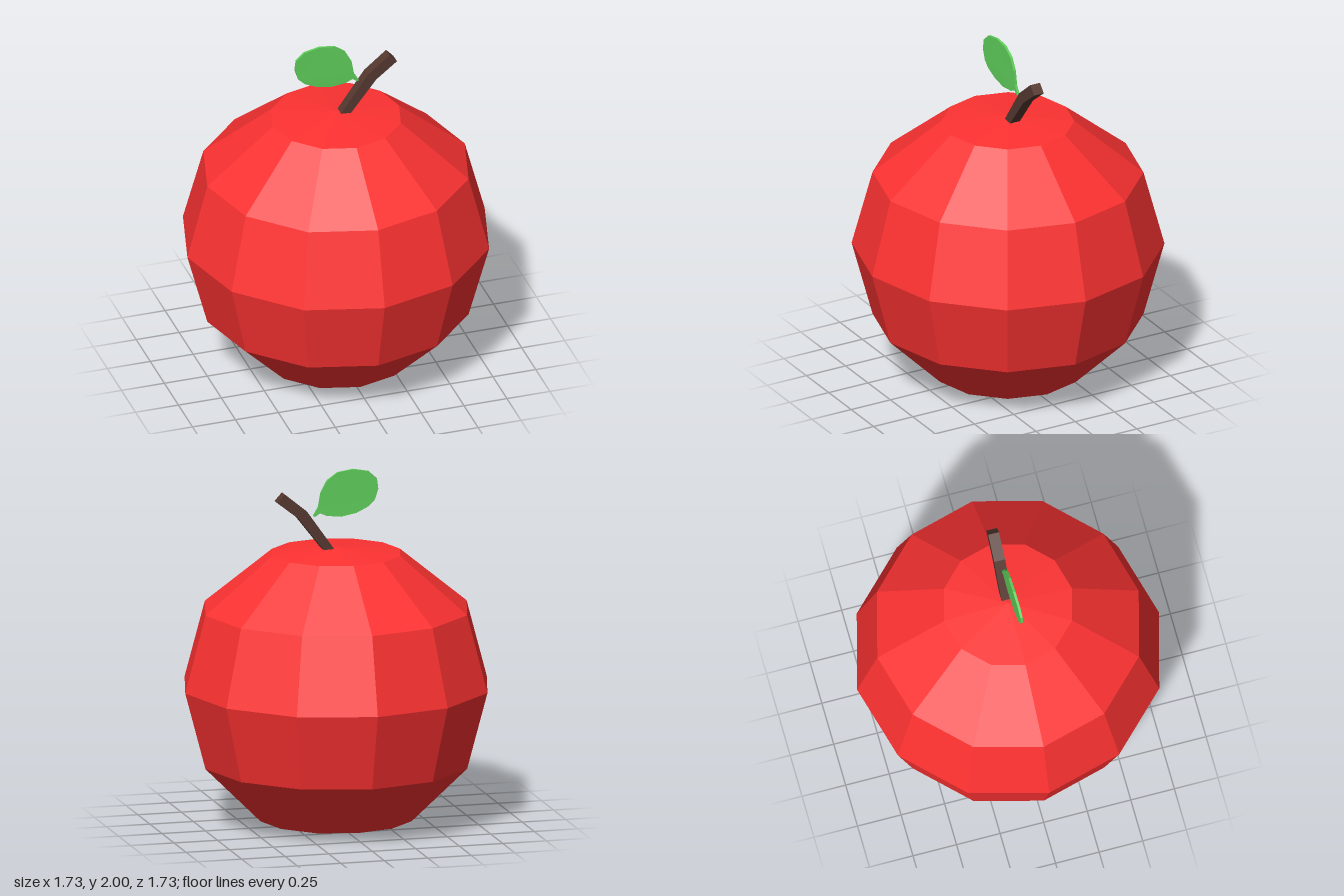
import * as THREE from 'three';

const flat = (color) => new THREE.MeshStandardMaterial({ color, flatShading: true });
const vectors = (pairs) => pairs.map(([x, y]) => new THREE.Vector2(x, y));

// Extrudes an outline drawn in x/y so that its depth is centred on z = 0.
function slab(outline, depth) {
  const shape = new THREE.Shape(vectors(outline));
  const geometry = new THREE.ExtrudeGeometry(shape, { depth, bevelEnabled: false });
  return geometry.translate(0, 0, -depth / 2);
}

function addPart(group, name, geometry, material) {
  const mesh = new THREE.Mesh(geometry, material);
  mesh.name = name;
  group.add(mesh);
}

export function createModel() {
  const group = new THREE.Group();
  group.name = 'apple';

  // Faceted fruit: twelve sides, tapering a little more at the top
  const profile = vectors([
    [0, 0], [0.433, 0.035], [0.75, 0.35], [0.866, 0.785],
    [0.75, 1.22], [0.367, 1.535], [0, 1.565],
  ]);
  addPart(group, 'fruit', new THREE.LatheGeometry(profile, 12), flat(0xff3232));

  // Bent square stem, sunk slightly into the fruit
  const stem = slab([
    [0.0, 1.535], [0.06, 1.535], [0.224, 1.745], [0.345, 1.84],
    [0.302, 1.887], [0.175, 1.783],
  ], 0.062);
  addPart(group, 'stem', stem, flat(0x55382f));

  // Thin leaf with its pointed base beside the bend of the stem
  const leaf = slab([
    [0.13, 1.748], [0.1, 1.8], [0.086, 1.88], [0.05, 1.945], [-0.01, 1.987],
    [-0.1, 2.0], [-0.19, 1.983], [-0.237, 1.94], [-0.245, 1.88], [-0.225, 1.82],
    [-0.19, 1.785], [-0.12, 1.752], [-0.03, 1.735], [0.055, 1.745],
    [0.092, 1.762], [0.12, 1.743],
  ], 0.014);

  // Gentle curl of the leaf towards the front at its far end
  const position = leaf.attributes.position;
  for (let i = 0; i < position.count; i++) {
    const t = (0.13 - position.getX(i)) / 0.375;
    position.setZ(i, position.getZ(i) + 0.006 + 0.007 * t * t);
  }
  leaf.computeVertexNormals();
  addPart(group, 'leaf', leaf, flat(0x60d05c));

  return group;
}
